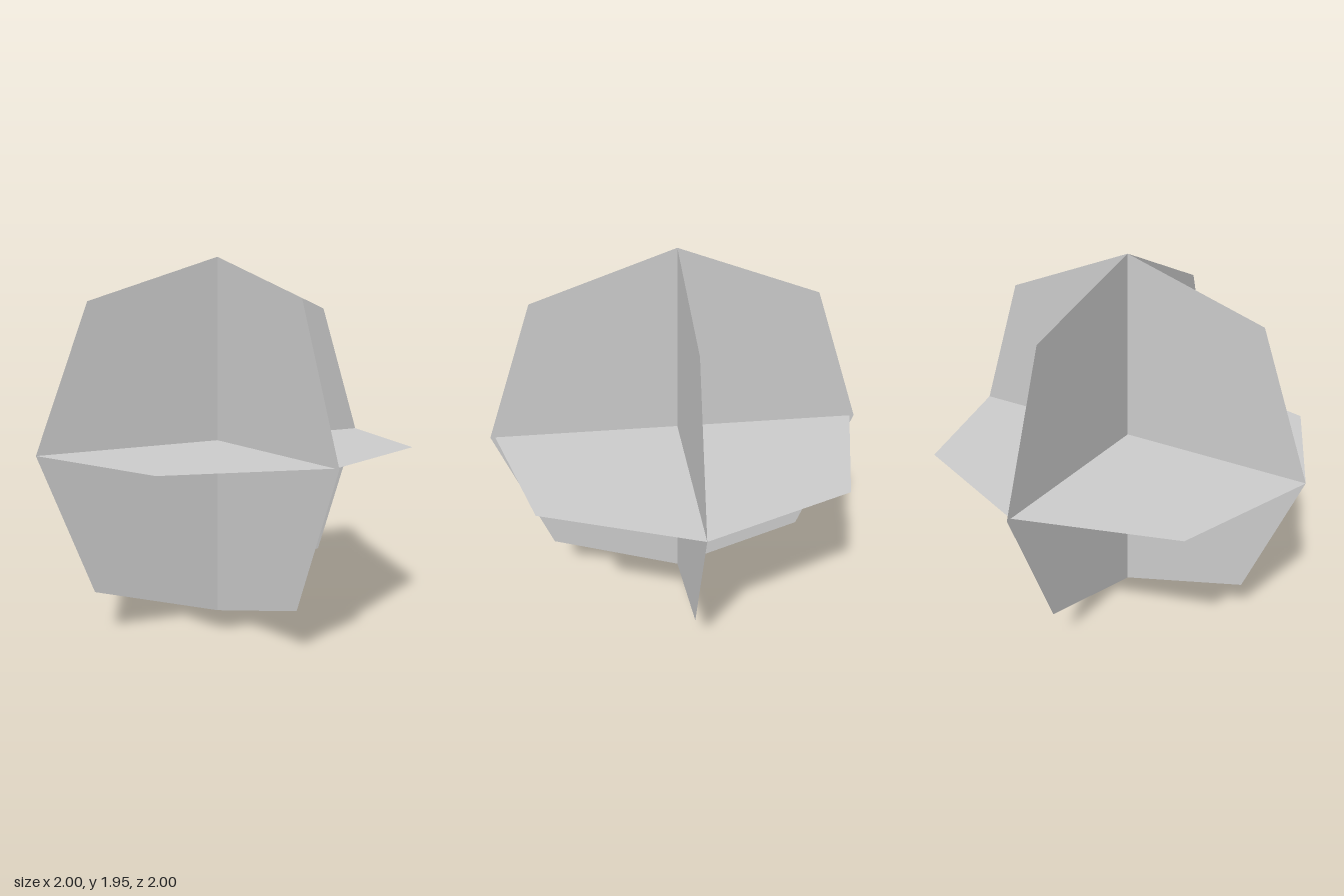
import * as THREE from 'three';

// Flat octagon, slightly wider than tall, centred on its own origin
function octagon() {
  const w = 1, h = 0.975, d = 0.725;
  return new THREE.ShapeGeometry(new THREE.Shape([
    [w, 0], [d, d], [0, h], [-d, d], [-w, 0], [-d, -d], [0, -h], [d, -d],
  ].map(([x, y]) => new THREE.Vector2(x, y))));
}

export function createModel() {
  const model = new THREE.Group();
  model.name = 'crossedOctagons';
  const material = new THREE.MeshStandardMaterial({
    color: 0xcccccc, flatShading: true, side: THREE.DoubleSide,
  });
  const geometry = octagon();

  // Three mutually perpendicular panels crossing at the centre
  const panels = [
    ['frontPanel', 0, 0],
    ['sidePanel', 0, Math.PI / 2],
    ['levelPanel', -Math.PI / 2, 0],
  ];
  for (const [name, rx, ry] of panels) {
    const panel = new THREE.Mesh(geometry, material);
    panel.name = name;
    panel.rotation.set(rx, ry, 0);
    panel.position.y = 0.975;
    model.add(panel);
  }
  return model;
}
